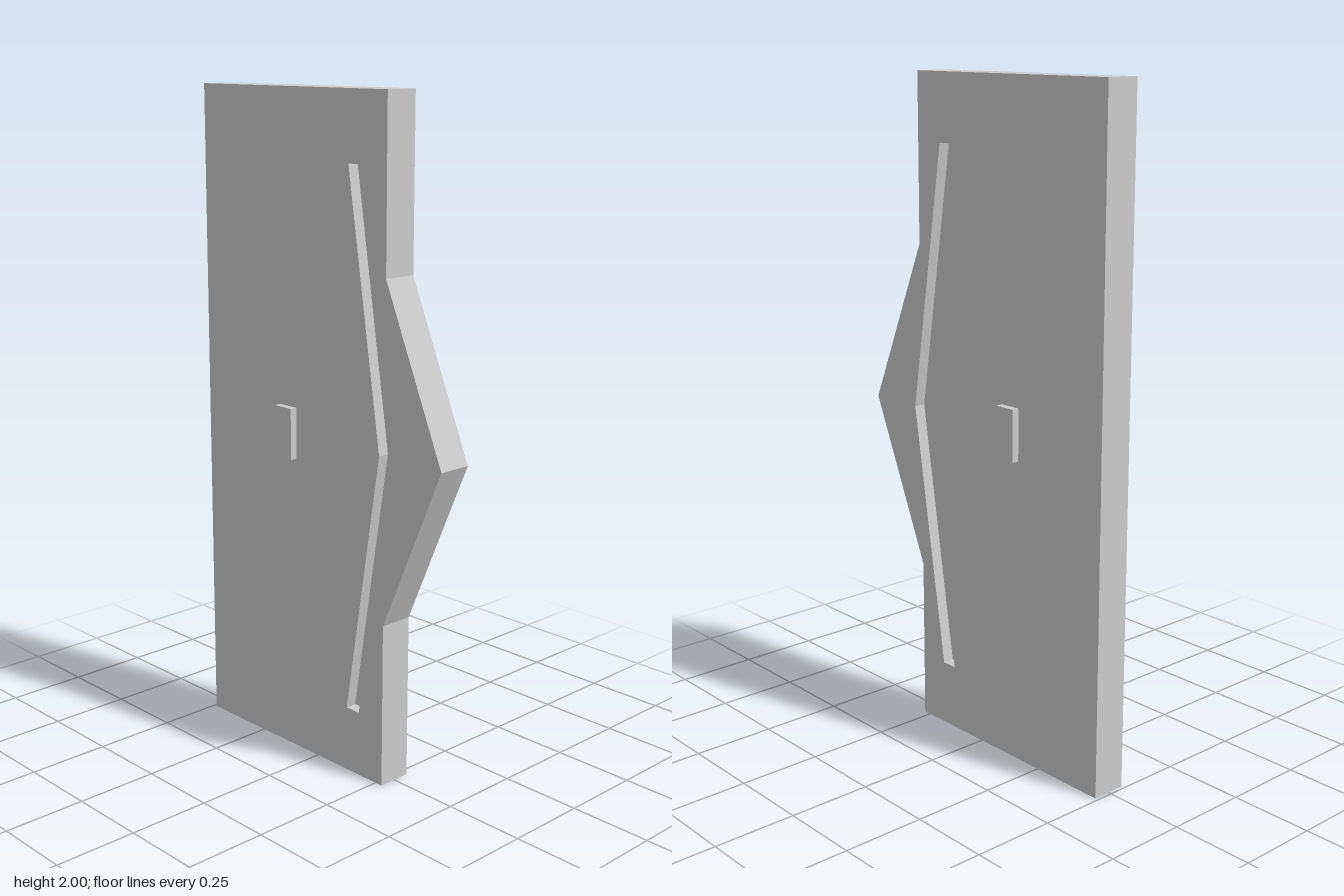
import * as THREE from 'three';

const SLAB_DEPTH = 0.106;
const GROOVE_DEPTH = 0.035;
const KNOB_RISE = 0.022;

const toPoints = (list) => list.map(([x, y]) => new THREE.Vector2(x, y));

export function createModel() {
  const group = new THREE.Group();
  const material = new THREE.MeshStandardMaterial({ color: 0xcccccc, flatShading: true });

  const add = (name, geometry, x = 0, y = 0, z = 0) => {
    const mesh = new THREE.Mesh(geometry, material);
    mesh.name = name;
    mesh.position.set(x, y, z);
    group.add(mesh);
  };

  // Extrusion centred on z = 0
  const extrude = (shape, depth) =>
    new THREE.ExtrudeGeometry(shape, { depth, bevelEnabled: false }).translate(0, 0, -depth / 2);

  // Slab with a pointed edge, cut by a bent slot
  const outline = toPoints([
    [-0.49, 0], [0.275, 0], [0.275, 0.5], [0.49, 1], [0.275, 1.5], [0.275, 2], [-0.49, 2],
  ]);
  const slot = toPoints([
    [0.127, 0.2], [0.178, 0.2], [0.305, 1], [0.178, 1.8], [0.127, 1.8], [0.254, 1],
  ]);
  const slab = new THREE.Shape(outline);
  slab.holes.push(new THREE.Path(slot));
  add('slab', extrude(slab, SLAB_DEPTH));

  // Thin web that closes the slot, leaving a groove on each face
  add('grooveFloor', extrude(new THREE.Shape(slot), SLAB_DEPTH - 2 * GROOVE_DEPTH));

  // Small rectangular block on each face
  for (const [name, side] of [['frontBlock', 1], ['backBlock', -1]]) {
    add(name, new THREE.BoxGeometry(0.07, 0.155, KNOB_RISE),
      -0.125, 1.002, side * (SLAB_DEPTH + KNOB_RISE) / 2);
  }

  return group;
}
